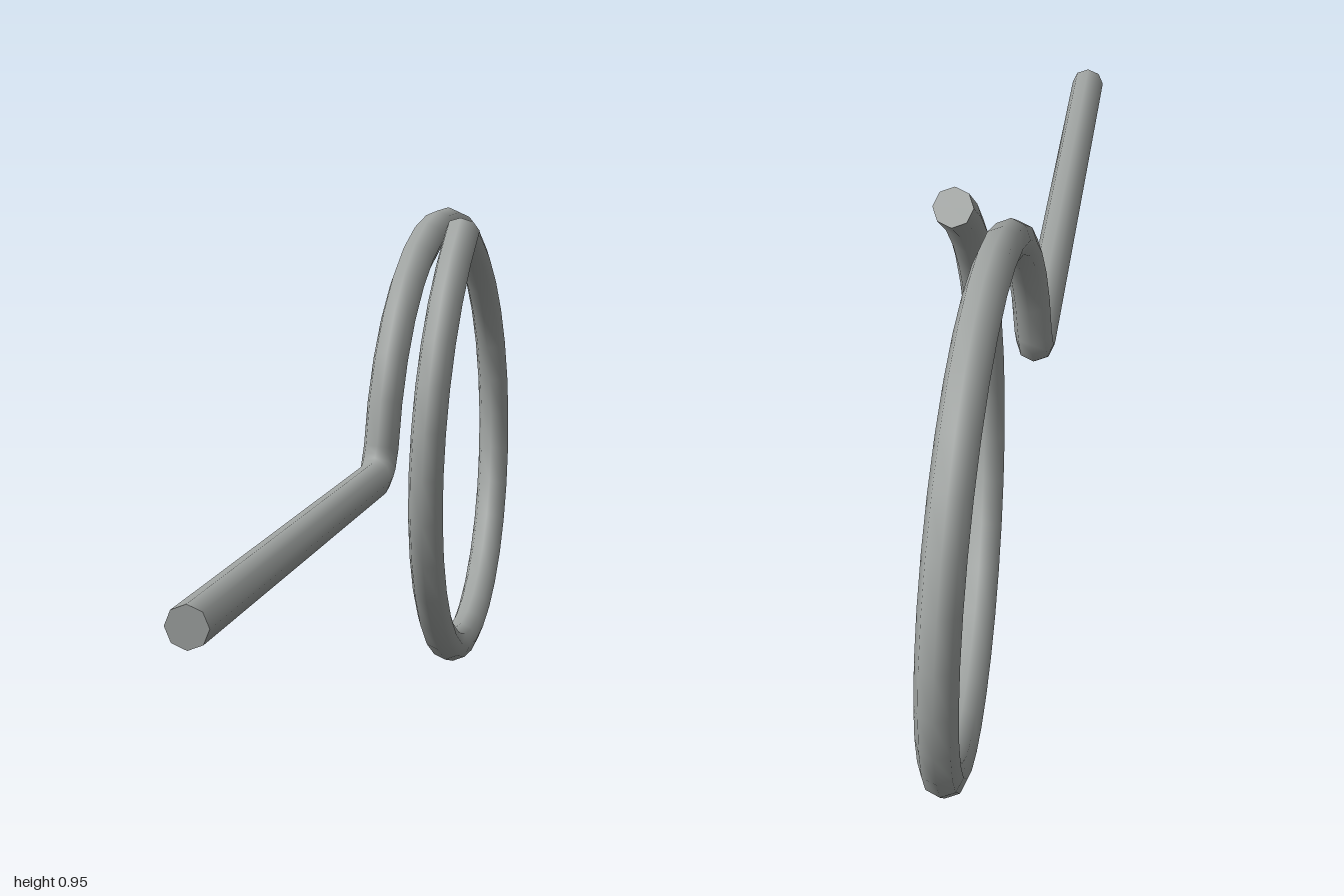
import * as THREE from 'three';

const RADIUS = 0.034, SIDES = 8;
const RING = { r: 0.441, y: 0.477, z: -0.524, startX: -0.053, pitch: 0.09 };

// Centre line: straight rod, small elbow, then a helical ring that opens out at its tip
function wirePath() {
  const pts = [];
  const add = (x, y, z) => pts.push(new THREE.Vector3(x, y, z));
  add(RING.startX, RING.y, 1);
  const bend = 0.056, bendZ = -0.03;
  for (let i = 0; i < 4; i++) {
    const a = (i / 4) * Math.PI / 2;
    add(RING.startX, RING.y + bend * (1 - Math.cos(a)), bendZ - bend * Math.sin(a));
  }
  const start = 7, end = 426, steps = 38;
  for (let i = 0; i <= steps; i++) {
    const deg = start + (end - start) * i / steps;
    const a = THREE.MathUtils.degToRad(deg);
    const r = RING.r + 0.048 * Math.pow(Math.max(0, (deg - 360) / 66), 2.5);
    add(RING.startX + RING.pitch * deg / 360, RING.y + r * Math.sin(a), RING.z + r * Math.cos(a));
  }
  return pts;
}

// Sweeps an eight-sided section along the points and closes both ends
function sweep(pts) {
  const pos = [], nor = [], idx = [], last = pts.length - 1;
  const tangents = pts.map((p, i) => {
    const t = new THREE.Vector3();
    if (i > 0) t.add(p.clone().sub(pts[i - 1]).normalize());
    if (i < last) t.add(pts[i + 1].clone().sub(p).normalize());
    return t.normalize();
  });
  const put = (p, n) => { pos.push(p.x, p.y, p.z); nor.push(n.x, n.y, n.z); };
  const spoke = (i, j) => {
    const t = tangents[i];
    const n = new THREE.Vector3(1, 0, 0).addScaledVector(t, -t.x).normalize();
    const b = t.clone().cross(n);
    const a = (j / SIDES) * Math.PI * 2;
    return n.multiplyScalar(Math.cos(a)).addScaledVector(b, Math.sin(a));
  };
  const rim = (i, j) => pts[i].clone().addScaledVector(spoke(i, j), RADIUS);

  const row = SIDES + 1;
  for (let i = 0; i <= last; i++) {
    for (let j = 0; j <= SIDES; j++) {
      put(rim(i, j), spoke(i, j));
      if (i < last && j < SIDES) {
        const k = i * row + j;
        idx.push(k, k + 1, k + row, k + 1, k + row + 1, k + row);
      }
    }
  }
  // Flat end caps
  for (const i of [0, last]) {
    const n = tangents[i].clone().multiplyScalar(i === 0 ? -1 : 1);
    const c = pos.length / 3;
    put(pts[i], n);
    for (let j = 0; j <= SIDES; j++) put(rim(i, j), n);
    for (let j = 1; j <= SIDES; j++) {
      if (i === 0) idx.push(c, c + j + 1, c + j);
      else idx.push(c, c + j, c + j + 1);
    }
  }
  const geo = new THREE.BufferGeometry();
  geo.setAttribute('position', new THREE.Float32BufferAttribute(pos, 3));
  geo.setAttribute('normal', new THREE.Float32BufferAttribute(nor, 3));
  geo.setIndex(idx);
  return geo;
}

export function createModel() {
  const group = new THREE.Group();
  group.name = 'ringPin';
  const steel = new THREE.MeshStandardMaterial({ color: 0xa0a4a2 });
  steel.name = 'steel grey';
  const wire = new THREE.Mesh(sweep(wirePath()), steel);
  wire.name = 'bentWire';
  group.add(wire);
  return group;
}
